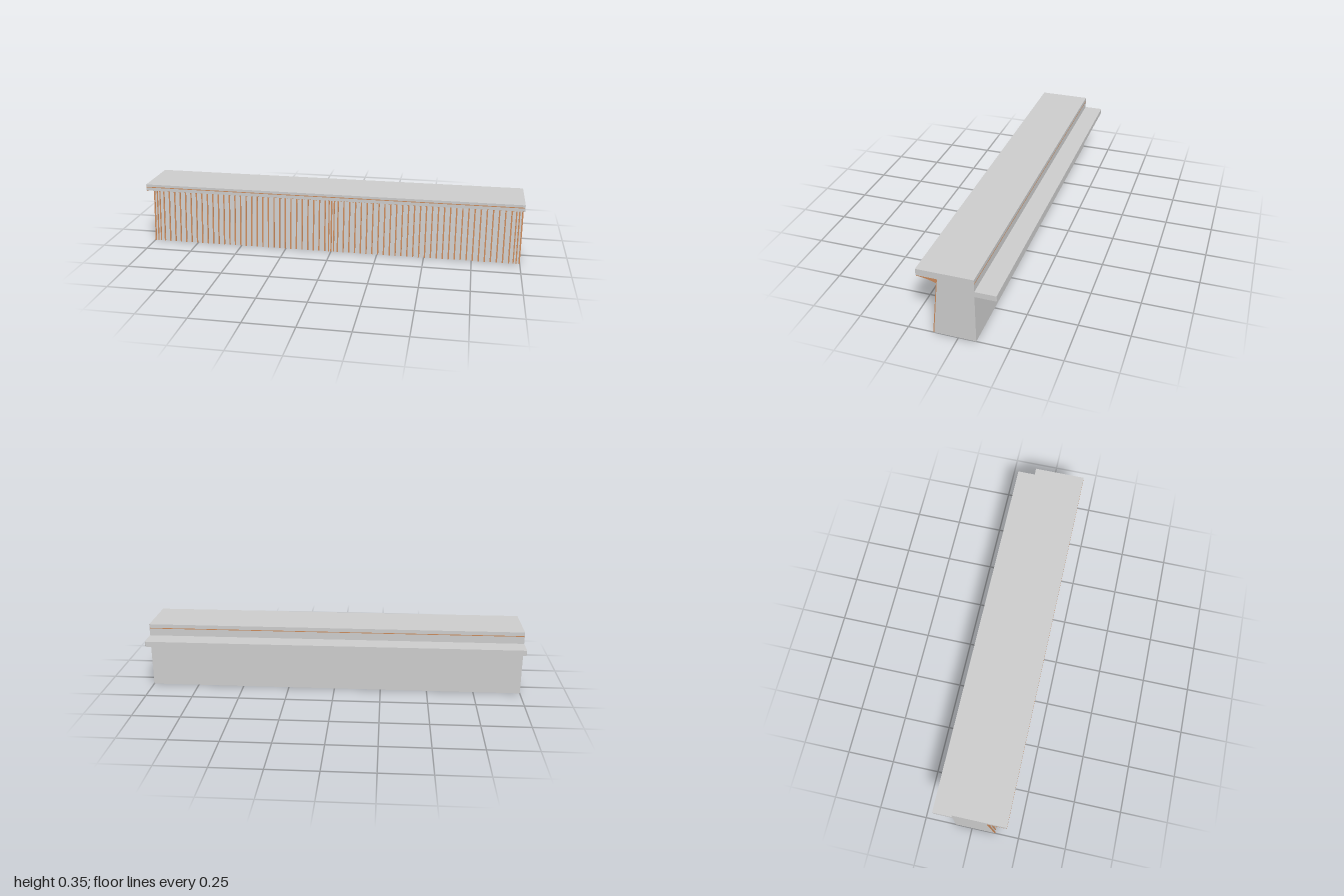
import * as THREE from 'three';

const grey = new THREE.MeshStandardMaterial({ color: 0xcccccc, side: THREE.DoubleSide });
const wood = new THREE.MeshStandardMaterial({ color: 0xc98a5c });

const BACK = -0.087, COUNTER_Y = 0.313, TOP = 0.347, FRONT = 0.19;
// z of the sloping front panel at height y
const panelZ = (y) => 0.121 - 0.105 * y;

// Extrude a (z, y) cross-section along x, centred on x = 0
function alongX(shape, width) {
  const g = new THREE.ExtrudeGeometry(shape, { depth: width, bevelEnabled: false, curveSegments: 10 });
  g.translate(0, 0, -width / 2);
  g.rotateY(-Math.PI / 2);
  return g;
}

function polygon(points) {
  return new THREE.Shape(points.map(([z, y]) => new THREE.Vector2(z, y)));
}

export function createModel() {
  const group = new THREE.Group();
  const add = (name, geometry, material, x = 0, y = 0, z = 0) => {
    const mesh = new THREE.Mesh(geometry, material);
    mesh.name = name;
    mesh.position.set(x, y, z);
    group.add(mesh);
    return mesh;
  };
  const box = (w, h, d) => new THREE.BoxGeometry(w, h, d);

  // Countertop overhanging the front
  add('countertop', box(2, TOP - COUNTER_Y, FRONT - BACK), grey,
    0, (TOP + COUNTER_Y) / 2, (FRONT + BACK) / 2);

  // Thin wooden inlays along the counter edges
  add('frontInlay', box(1.996, 0.004, 0.002), wood, 0, 0.332, FRONT - 0.0005);
  add('backInlay', box(1.996, 0.004, 0.002), wood, 0, 0.325, BACK + 0.0005);

  // Hollow body, open underneath
  const t = 0.003;
  add('frontPanel', alongX(polygon([
    [panelZ(0) - t, 0], [panelZ(0), 0],
    [panelZ(COUNTER_Y), COUNTER_Y], [panelZ(COUNTER_Y) - t, COUNTER_Y],
  ]), 2), grey);
  add('backPanel', box(2, COUNTER_Y, t), grey, 0, COUNTER_Y / 2, BACK + t / 2);
  const endGeometry = alongX(polygon([
    [BACK, 0], [panelZ(0), 0], [panelZ(COUNTER_Y), COUNTER_Y], [BACK, COUNTER_Y],
  ]), t);
  for (const s of [-1, 1]) add(s > 0 ? 'leftEnd' : 'rightEnd', endGeometry, grey, s * (1 - t / 2));

  // Work shelf on the back, with small rounded outer corners
  const r = 0.006, depth = 0.103;
  const plan = new THREE.Shape();
  plan.moveTo(-1, 0);
  plan.lineTo(1, 0);
  plan.lineTo(1, depth - r);
  plan.quadraticCurveTo(1, depth, 1 - r, depth);
  plan.lineTo(-1 + r, depth);
  plan.quadraticCurveTo(-1, depth, -1, depth - r);
  const shelf = new THREE.ExtrudeGeometry(plan, { depth: 0.028, bevelEnabled: false, curveSegments: 4 });
  shelf.rotateX(-Math.PI / 2);
  add('backShelf', shelf, grey, 0, 0.256, BACK);

  // Slat that follows the slope and curves out into a bracket under the counter
  const rib = new THREE.Shape();
  rib.moveTo(panelZ(0) - 0.001, 0);
  rib.lineTo(panelZ(0) + 0.004, 0);
  rib.lineTo(panelZ(0.29) + 0.003, 0.29);
  rib.quadraticCurveTo(0.135, 0.307, 0.188, 0.31);
  rib.lineTo(0.188, COUNTER_Y);
  rib.lineTo(panelZ(COUNTER_Y) - 0.001, COUNTER_Y);
  const slatGeometry = alongX(rib, 0.007);

  const slats = [0];
  for (let i = 0; i < 30; i++) slats.push(0.035 + i * 0.0313);
  slats.push(0.9965);
  for (const x of slats) {
    add('slat', slatGeometry, wood, x);
    if (x > 0) add('slat', slatGeometry, wood, -x);
  }

  // Plain battens thickening the slats into posts at the middle and ends
  const battenGeometry = alongX(polygon([
    [panelZ(0) - 0.001, 0], [panelZ(0) + 0.003, 0],
    [panelZ(COUNTER_Y) + 0.003, COUNTER_Y], [panelZ(COUNTER_Y) - 0.001, COUNTER_Y],
  ]), 0.006);
  for (const x of [0.014, 0.966, 0.981]) {
    for (const s of [-1, 1]) add('batten', battenGeometry, wood, s * x);
  }

  // Inner studs behind the panel joints
  const studGeometry = alongX(polygon([
    [panelZ(0) - 0.006, 0], [panelZ(0) - 0.002, 0],
    [panelZ(COUNTER_Y) - 0.002, COUNTER_Y], [panelZ(COUNTER_Y) - 0.006, COUNTER_Y],
  ]), 0.018);
  for (const x of [-0.987, -0.49, 0, 0.49, 0.987]) add('innerStud', studGeometry, wood, x);

  return group;
}
